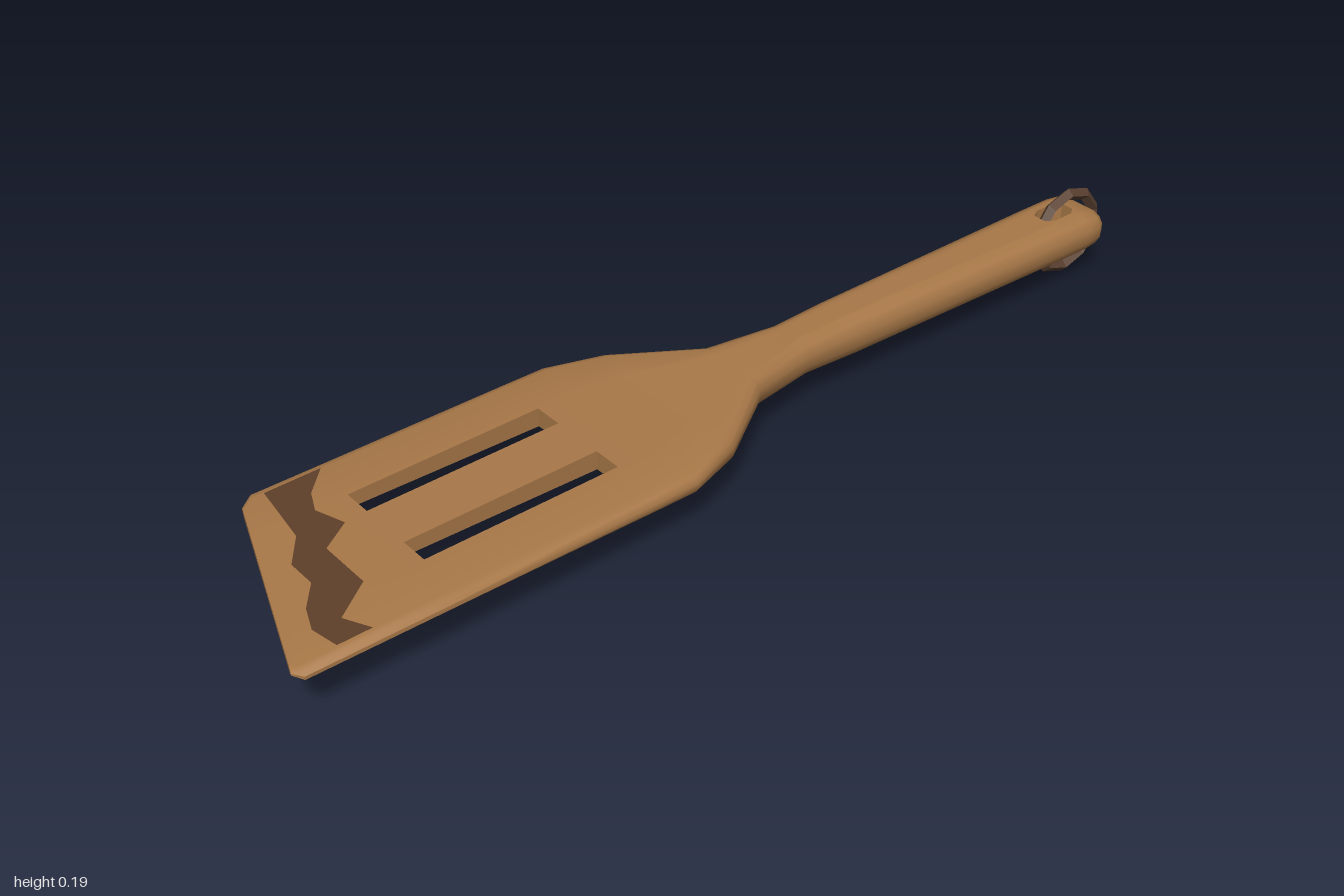
import * as THREE from 'three';
import { toCreasedNormals } from 'three/addons/utils/BufferGeometryUtils.js';

const MID = 0.107;

// half thickness along the length (z)
const STOPS = [[-1, 0.041], [-0.3, 0.041], [-0.04, 0.031], [0.2, 0.02], [1, 0.0105]];
function halfThickness(z) {
  for (let i = 1; i < STOPS.length; i++) {
    const [z0, h0] = STOPS[i - 1], [z1, h1] = STOPS[i];
    if (z <= z1) return h0 + (h1 - h0) * (z - z0) / (z1 - z0);
  }
  return 0.0105;
}

// [z, half width, edge inset, inner column, outer column, thickness factor, slant]
const ROWS = [
  [-0.96, 0.052, 0.026, 0.01, 0.018, 0.62, 0],
  [-0.94, 0.066, 0.03, 0.012, 0.025, 0.9, 0],
  [-0.91, 0.067, 0.03, 0.014, 0.028, 1, 0],
  [-0.895, 0.067, 0.03, 0.025, 0.031, 1, 0],
  [-0.85, 0.067, 0.03, 0.025, 0.031, 1, 0],
  [-0.832, 0.067, 0.03, 0.014, 0.028, 1, 0],
  [-0.6, 0.063, 0.03, 0.011, 0.022, 1, 0],
  [-0.3, 0.057, 0.027, 0.01, 0.02, 1, 0],
  [-0.18, 0.054, 0.025, 0.01, 0.02, 1, 0],
  [-0.04, 0.08, 0.025, 0.018, 0.036, 1, 0],
  [0.11, 0.185, 0.022, 0.045, 0.09, 1, 0],
  [0.22, 0.224, 0.02, 0.055, 0.114, 1, 0],
  [0.305, 0.225, 0.02, 0.055, 0.114, 1, 0],
  [0.695, 0.227, 0.02, 0.055, 0.114, 1, 0],
  [0.9, 0.228, 0.02, 0.055, 0.114, 1, 0.375],
  [0.92, 0.207, 0.014, 0.055, 0.114, 0.55, 0.375],
];
// openings: cell between columns, first row, last row
const OPENINGS = [[2, 2, 5], [1, 12, 13], [3, 12, 13]];

// one closed cross-section: top left to right, right edge, bottom, left edge
function section([z, w, inset, a, b, k, slant]) {
  const f = w - inset, e = f + inset * 0.65;
  const top = [-f, -b, -a, a, b, f].map((x) => [x, 1]);
  const side = [[e, 0.78], [w, 0.3], [w, -0.3], [e, -0.78]];
  const half = [...top, ...side];
  return [...half, ...half.map(([x, y]) => [-x, -y])].map(([x, y]) => {
    const pz = z + slant * x;
    return [x, MID + y * k * halfThickness(pz), pz];
  });
}

function bodyGeometry() {
  const rings = ROWS.map(section), n = rings[0].length, pos = [];
  const tri = (...p) => p.forEach((v) => pos.push(...v));
  const quad = (a, b, c, d) => { tri(a, b, c); tri(a, c, d); };
  const isOpen = (r, j) => OPENINGS.some(([k, r0, r1]) => r >= r0 && r < r1 && (j === k || j === 14 - k));

  // outer skin
  for (let r = 0; r < rings.length - 1; r++) {
    for (let j = 0; j < n; j++) {
      const m = (j + 1) % n;
      if (!isOpen(r, j)) quad(rings[r][j], rings[r + 1][j], rings[r + 1][m], rings[r][m]);
    }
  }
  // end caps
  const back = rings[0], front = rings[rings.length - 1];
  for (let i = 1; i < n - 1; i++) {
    tri(back[0], back[i], back[i + 1]);
    tri(front[0], front[i + 1], front[i]);
  }
  // walls of the slots and the hanging hole
  const T = (r, c) => rings[r][c], B = (r, c) => rings[r][15 - c];
  for (const [k, r0, r1] of OPENINGS) {
    for (let r = r0; r < r1; r++) {
      quad(B(r, k), T(r, k), T(r + 1, k), B(r + 1, k));
      quad(B(r + 1, k + 1), T(r + 1, k + 1), T(r, k + 1), B(r, k + 1));
    }
    quad(B(r0, k), B(r0, k + 1), T(r0, k + 1), T(r0, k));
    quad(T(r1, k), T(r1, k + 1), B(r1, k + 1), B(r1, k));
  }
  const g = new THREE.BufferGeometry();
  g.setAttribute('position', new THREE.Float32BufferAttribute(pos, 3));
  return toCreasedNormals(g, 0.75);
}

// jagged dark band lying on the top of the blade
function stainGeometry() {
  const outline = [
    [-0.206, 0.69], [-0.155, 0.74], [-0.11, 0.76], [-0.05, 0.74], [-0.01, 0.8], [0.1, 0.8], [0.155, 0.875], [0.206, 0.85],
    [0.206, 0.915], [0.15, 0.925], [0.1, 0.905], [0.05, 0.865], [-0.01, 0.865], [-0.07, 0.82], [-0.206, 0.8],
  ];
  const g = new THREE.ShapeGeometry(new THREE.Shape(outline.map(([x, z]) => new THREE.Vector2(x, -z))));
  g.rotateX(-Math.PI / 2);
  const p = g.attributes.position;
  for (let i = 0; i < p.count; i++) p.setY(i, MID + halfThickness(p.getZ(i)) + 0.0015);
  g.computeVertexNormals();
  return g;
}

export function createModel() {
  const group = new THREE.Group();
  const add = (name, geometry, color, options = {}) => {
    const mesh = new THREE.Mesh(geometry, new THREE.MeshStandardMaterial({ color, ...options }));
    mesh.name = name;
    group.add(mesh);
    return mesh;
  };
  add('spatulaBody', bodyGeometry(), 0xa87848);
  add('bladeStain', stainGeometry(), 0x5f402a, { side: THREE.DoubleSide });

  // hanging ring through the handle hole
  const ring = new THREE.TorusGeometry(0.081, 0.0128, 4, 10);
  ring.rotateZ(Math.PI / 2).rotateY(Math.PI / 2);
  add('hangingRing', ring, 0x59402f, { flatShading: true }).position.set(0, 0.0938, -0.911);
  return group;
}
